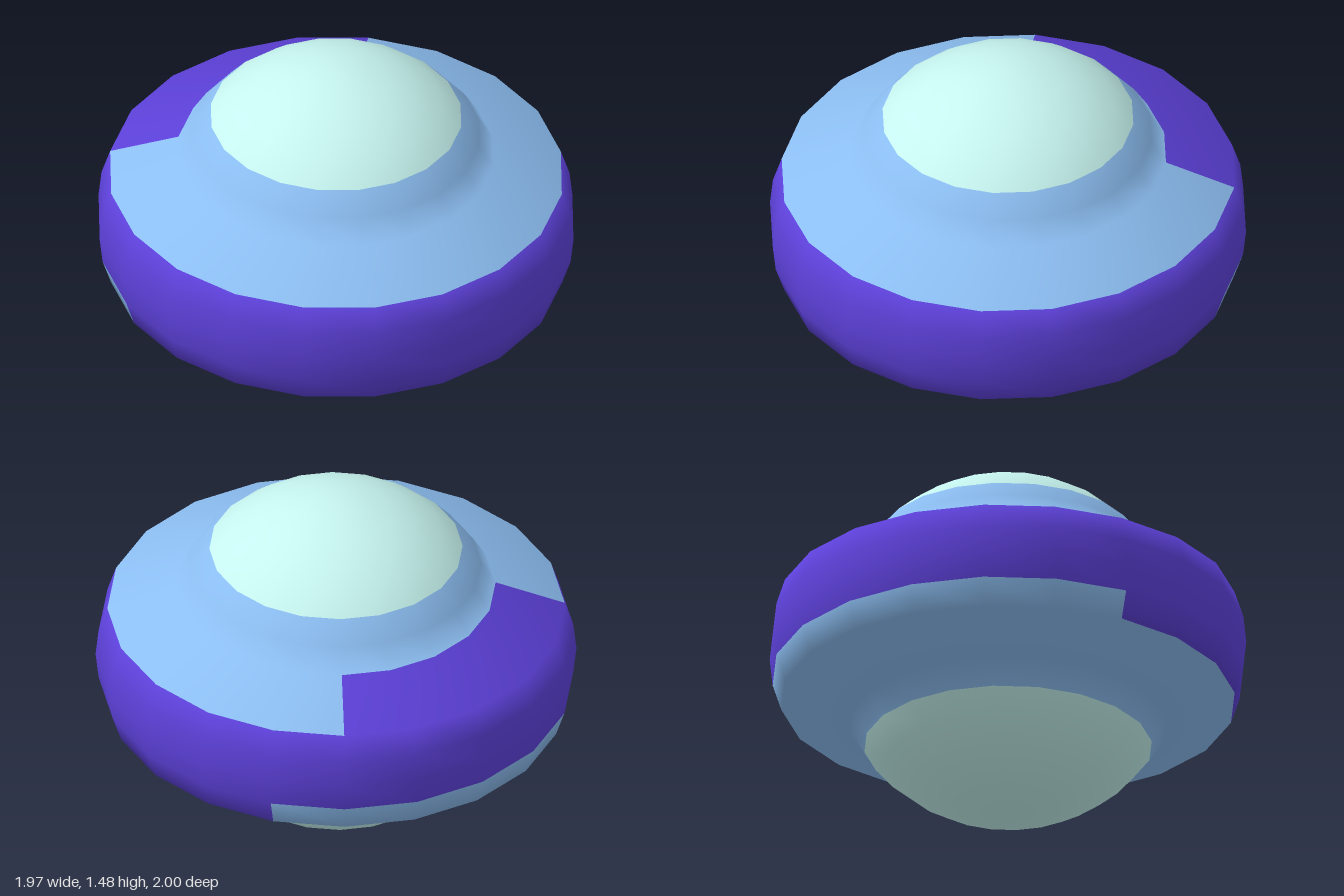
import * as THREE from 'three';

const SEGMENTS = 20; // sides around the axis
const HALF_RINGS = 10; // rings from equator to each pole
const HALF_HEIGHT = 0.742;
const DOME_SCALE = 0.745; // domes are pinched in from the belt
const WIDTH = 0.984;

const PURPLE = 0x5c40d8, BLUE = 0x8cbef2, MINT = 0xc6f4ef;

// Vertex index of ring k (-10..10) at side j; each pole uses a single vertex
function vertexIndex(k, j) {
  const side = Math.abs(k) === HALF_RINGS ? 0 : j % SEGMENTS;
  return (k + HALF_RINGS) * SEGMENTS + side;
}

// Squashed sphere whose rings beyond the belt are drawn inwards
function hullPositions() {
  const positions = [];
  for (let k = -HALF_RINGS; k <= HALF_RINGS; k++) {
    const lat = (k / HALF_RINGS) * Math.PI / 2;
    const r = Math.cos(lat) * (Math.abs(k) > 2 ? DOME_SCALE : 1);
    const y = HALF_HEIGHT * (1 + Math.sin(lat));
    for (let j = 0; j < SEGMENTS; j++) {
      const a = (j / SEGMENTS) * Math.PI * 2;
      positions.push(WIDTH * r * Math.cos(a), y, -r * Math.sin(a));
    }
  }
  return positions;
}

// Which part the quad above ring k at side j belongs to
function partOf(k, j) {
  if (k >= 5) return 'topDome';
  if (k < -4) return 'bottomDome';
  if (k === 2 && j >= 2 && j <= 6) return 'belt'; // rear patch on the upper skirt
  if (k === -2 && j >= 1 && j <= 8) return 'lowerSkirt'; // rear patch on the belt
  if (k >= 2) return 'upperSkirt';
  if (k < -2) return 'lowerSkirt';
  return 'belt';
}

export function createModel() {
  const group = new THREE.Group();
  group.name = 'saucer';

  const colors = { bottomDome: MINT, lowerSkirt: BLUE, belt: PURPLE, upperSkirt: BLUE, topDome: MINT };
  const faces = {};
  for (const name in colors) faces[name] = [];

  for (let k = -HALF_RINGS; k < HALF_RINGS; k++) {
    for (let j = 0; j < SEGMENTS; j++) {
      const a = vertexIndex(k, j), b = vertexIndex(k, j + 1);
      const c = vertexIndex(k + 1, j + 1), d = vertexIndex(k + 1, j);
      const list = faces[partOf(k, j)];
      if (a !== b) list.push(a, b, d);
      if (c !== d) list.push(b, c, d);
    }
  }

  // Smooth normals across the whole hull, then one mesh per coloured part
  const hull = new THREE.BufferGeometry();
  hull.setAttribute('position', new THREE.Float32BufferAttribute(hullPositions(), 3));
  hull.setIndex(Object.values(faces).flat());
  hull.computeVertexNormals();

  for (const [name, color] of Object.entries(colors)) {
    hull.setIndex(faces[name]);
    const mesh = new THREE.Mesh(hull.toNonIndexed(), new THREE.MeshStandardMaterial({ color }));
    mesh.name = name;
    group.add(mesh);
  }
  return group;
}
